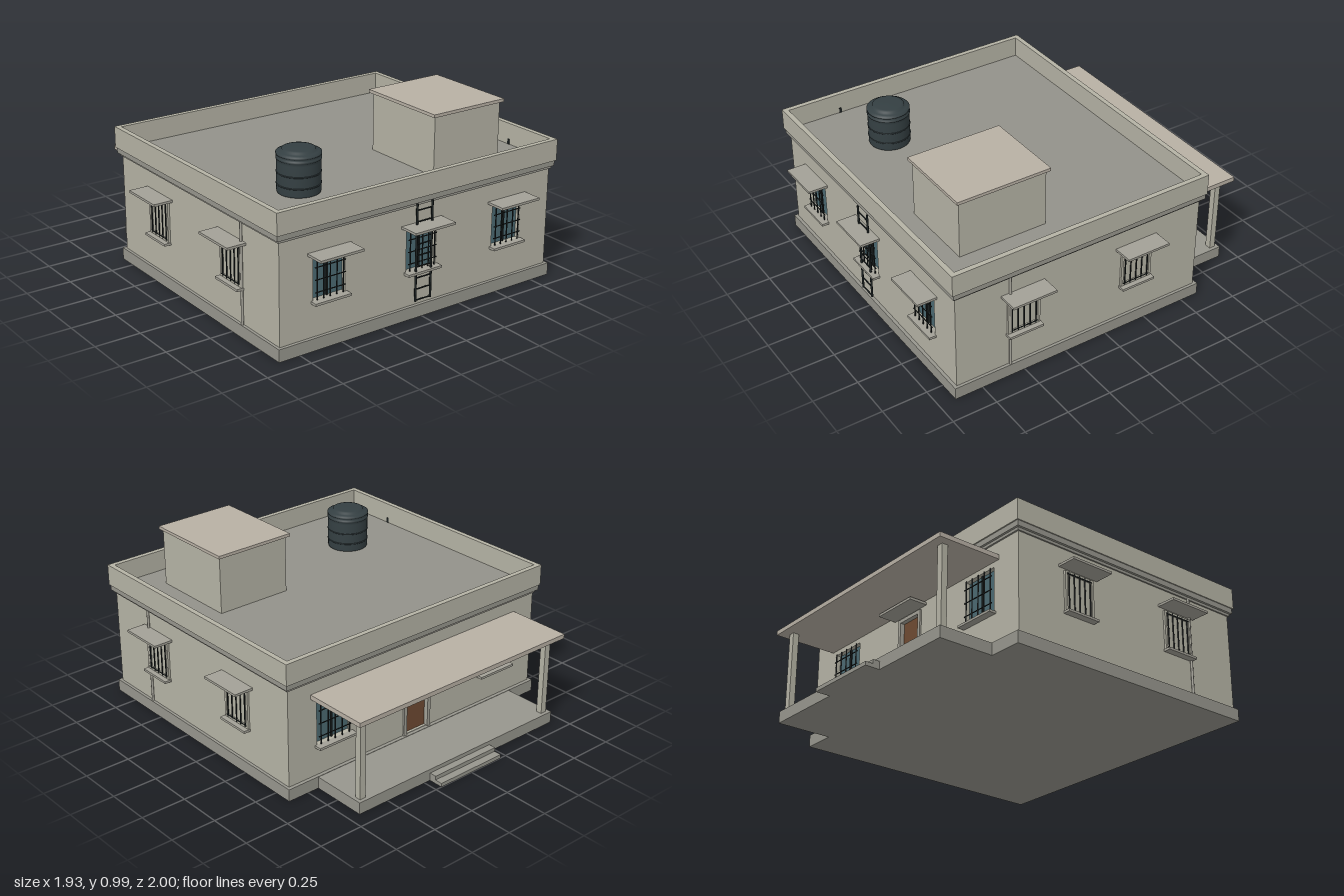
import * as THREE from 'three';

const mat = (color) => new THREE.MeshStandardMaterial({ color });
const M = {
  wall: mat(0xb5b3a5), slab: mat(0xb8b0a4), plinth: mat(0x97968d), roof: mat(0x93928a),
  glass: mat(0x4c6a72), iron: mat(0x1c2222), tank: mat(0x343f42), wood: mat(0x6e4a32), shade: mat(0xa3a197),
};

// box given by its extents on each axis
function box(parent, name, m, x0, x1, y0, y1, z0, z1) {
  const mesh = new THREE.Mesh(new THREE.BoxGeometry(x1 - x0, y1 - y0, z1 - z0), m);
  mesh.position.set((x0 + x1) / 2, (y0 + y1) / 2, (z0 + z1) / 2);
  mesh.name = name;
  parent.add(mesh);
  return mesh;
}

function rod(parent, name, m, r, len, x, y, z, axis = 'y') {
  const mesh = new THREE.Mesh(new THREE.CylinderGeometry(r, r, len, 8), m);
  mesh.position.set(x, y, z);
  if (axis === 'x') mesh.rotation.z = Math.PI / 2;
  mesh.name = name;
  parent.add(mesh);
}

// flat wall with rectangular openings [x0, x1, y0, y1]
function wallWithOpenings(parent, name, x0, x1, y0, y1, z0, z1, openings) {
  const rect = (p, [a, b, c, d]) => {
    p.moveTo(a, c); p.lineTo(b, c); p.lineTo(b, d); p.lineTo(a, d); p.closePath();
    return p;
  };
  const shape = rect(new THREE.Shape(), [x0, x1, y0, y1]);
  openings.forEach((o) => shape.holes.push(rect(new THREE.Path(), o)));
  const geo = new THREE.ExtrudeGeometry(shape, { depth: z1 - z0, bevelEnabled: false });
  const mesh = new THREE.Mesh(geo, M.wall);
  mesh.position.z = z0;
  mesh.name = name;
  parent.add(mesh);
}

// window on a wall plane, outward along local +z
function makeWindow({ w, y0, y1, glazed, awning, sillDepth = 0.04, bars = 5, rails }) {
  const g = new THREE.Group();
  g.name = 'window';
  const h = w / 2, mid = (y0 + y1) / 2;
  if (glazed) {
    box(g, 'glass', M.glass, -h, h, y0, y1, -0.035, -0.025);
    box(g, 'mullion', M.iron, -0.005, 0.005, y0, y1, -0.025, -0.015);
  } else {
    for (const s of [-1, 1]) {
      box(g, 'frameSide', M.wall, s * h - 0.007, s * h + 0.007, y0, y1, -0.01, 0.012);
      box(g, 'frameEnd', M.wall, -h, h, s < 0 ? y0 : y1 - 0.012, s < 0 ? y0 + 0.012 : y1, -0.01, 0.012);
    }
  }
  for (let i = 0; i < bars; i++) {
    const x = (i / (bars - 1) - 0.5) * (w - 0.035);
    rod(g, 'grilleBar', M.iron, 0.0035, y1 - y0 - 0.008, x, mid, 0.011);
  }
  rails.forEach((t) => rod(g, 'grilleRail', M.iron, 0.003, w - 0.01, 0, y0 + (y1 - y0) * t, 0.011, 'x'));
  box(g, 'sill', M.shade, -h - 0.012, h + 0.012, y0 - 0.013, y0, -0.02, sillDepth);
  if (awning) box(g, 'awning', M.shade, -0.127, 0.127, 0.497, 0.51, -0.02, awning);
  return g;
}

function waterTank() {
  const g = new THREE.Group();
  g.name = 'waterTank';
  const pts = [[0, 0], [0.108, 0], [0.112, 0.012], [0.112, 0.165], [0.105, 0.172], [0.115, 0.18], [0.115, 0.19],
    [0.106, 0.196], [0.115, 0.203], [0.115, 0.211], [0.1, 0.218], [0.085, 0.221], [0.085, 0.229], [0.07, 0.232], [0, 0.234]];
  const body = new THREE.Mesh(new THREE.LatheGeometry(pts.map(([x, y]) => new THREE.Vector2(x, y)), 40), M.tank);
  body.name = 'tankBody';
  g.add(body);
  for (const y of [0.05, 0.11]) {
    const ring = new THREE.Mesh(new THREE.TorusGeometry(0.111, 0.004, 6, 40), M.tank);
    ring.rotation.x = Math.PI / 2;
    ring.position.y = y;
    ring.name = 'tankRib';
    g.add(ring);
  }
  g.position.set(-0.46, 0.647, 0.49);
  return g;
}

export function createModel() {
  const house = new THREE.Group();
  house.name = 'house';

  // plinth, porch floor and steps
  box(house, 'plinth', M.plinth, -0.872, 0.872, 0, 0.067, -0.605, 0.908);
  box(house, 'porchFloor', M.plinth, -0.685, 0.685, 0, 0.065, -0.917, -0.6);
  box(house, 'upperStep', M.plinth, -0.213, 0.213, 0, 0.043, -0.957, -0.91);
  box(house, 'lowerStep', M.plinth, -0.213, 0.213, 0, 0.021, -1, -0.95);

  // walls
  const xs = [-0.567, 0, 0.565];
  const front = xs.map((x) => [x - 0.095, x + 0.095, 0.258, 0.475]);
  const back = [-0.565, 0.565].map((x) => [x - 0.11, x + 0.11, 0.238, 0.48]);
  back.push([-0.08, 0.08, 0.07, 0.46]);
  wallWithOpenings(house, 'frontWall', -0.856, 0.856, 0.06, 0.65, 0.84, 0.89, front);
  wallWithOpenings(house, 'backWall', -0.856, 0.856, 0.06, 0.65, -0.585, -0.535, back);
  for (const s of [-1, 1]) {
    box(house, 'sideWall', M.wall, s * 0.831 - 0.025, s * 0.831 + 0.025, 0.06, 0.65, -0.536, 0.841);
  }

  // cornice bands, roof deck and parapet
  box(house, 'lowerCornice', M.plinth, -0.864, 0.864, 0.605, 0.62, -0.594, 0.898);
  box(house, 'upperCornice', M.plinth, -0.877, 0.877, 0.62, 0.65, -0.606, 0.908);
  box(house, 'roofDeck', M.roof, -0.858, 0.858, 0.63, 0.651, -0.588, 0.89);
  for (const s of [-1, 1]) {
    box(house, 'sideParapet', M.wall, s * 0.869 - 0.014, s * 0.869 + 0.014, 0.65, 0.767, -0.613, 0.916);
  }
  box(house, 'frontParapet', M.wall, -0.856, 0.856, 0.65, 0.767, 0.888, 0.916);
  box(house, 'backParapet', M.wall, -0.856, 0.856, 0.65, 0.767, -0.613, -0.585);

  // stair room and water tank on the roof
  box(house, 'stairRoom', M.wall, 0.207, 0.64, 0.64, 0.968, 0.225, 0.727);
  box(house, 'stairRoomSlab', M.slab, 0.19, 0.655, 0.968, 0.985, 0.207, 0.742);
  house.add(waterTank());

  // windows on the four walls
  const place = (opts, x, z, turn) => {
    const w = makeWindow(opts);
    w.position.set(x, 0, z);
    w.rotation.y = turn;
    house.add(w);
  };
  xs.forEach((x) => place({ w: 0.19, y0: 0.258, y1: 0.475, glazed: true, awning: 0.11, rails: [0.2, 0.5, 0.8] }, x, 0.89, 0));
  const side = { w: 0.175, y0: 0.265, y1: 0.485, awning: 0.109, rails: [0.06, 0.94] };
  [0.502, -0.185].forEach((z) => place(side, 0.856, z, Math.PI / 2));
  [0.487, -0.2].forEach((z) => place(side, -0.856, z, -Math.PI / 2));
  [-0.565, 0.565].forEach((x) => place({ w: 0.22, y0: 0.238, y1: 0.48, glazed: true, rails: [0.2, 0.5, 0.8] }, x, -0.585, Math.PI));

  // front door under the porch
  box(house, 'door', M.wood, -0.075, 0.075, 0.067, 0.455, -0.57, -0.555);
  for (const s of [-1, 1]) {
    box(house, 'doorJamb', M.shade, s * 0.083 - 0.01, s * 0.083 + 0.01, 0.065, 0.47, -0.595, -0.55);
  }
  box(house, 'doorLintel', M.shade, -0.093, 0.093, 0.452, 0.472, -0.595, -0.55);
  box(house, 'doorAwning', M.shade, -0.135, 0.135, 0.482, 0.496, -0.69, -0.57);
  rod(house, 'doorHandle', M.iron, 0.006, 0.04, 0.055, 0.26, -0.577);

  // porch roof and posts
  box(house, 'porchRoof', M.slab, -0.713, 0.713, 0.508, 0.533, -0.948, -0.58);
  for (const s of [-1, 1]) {
    box(house, 'porchPost', M.wall, s * 0.647 - 0.018, s * 0.647 + 0.018, 0.06, 0.51, -0.897, -0.863);
  }

  // rain pipes with roof outlets
  for (const s of [-1, 1]) {
    rod(house, 'rainPipe', M.shade, 0.007, 0.55, s * 0.863, 0.34, 0.58);
    box(house, 'roofOutlet', M.iron, s * 0.856 - 0.004, s * 0.856 + 0.004, 0.651, 0.68, 0.573, 0.587);
  }

  // roof ladder
  const ladder = new THREE.Group();
  ladder.name = 'ladder';
  for (const s of [-1, 1]) rod(ladder, 'ladderRail', M.iron, 0.006, 0.525, s * 0.048, 0.357, 0.912);
  for (let i = 0; i < 9; i++) rod(ladder, 'ladderRung', M.iron, 0.004, 0.096, 0, 0.1 + i * 0.0605, 0.912, 'x');
  house.add(ladder);

  return house;
}
